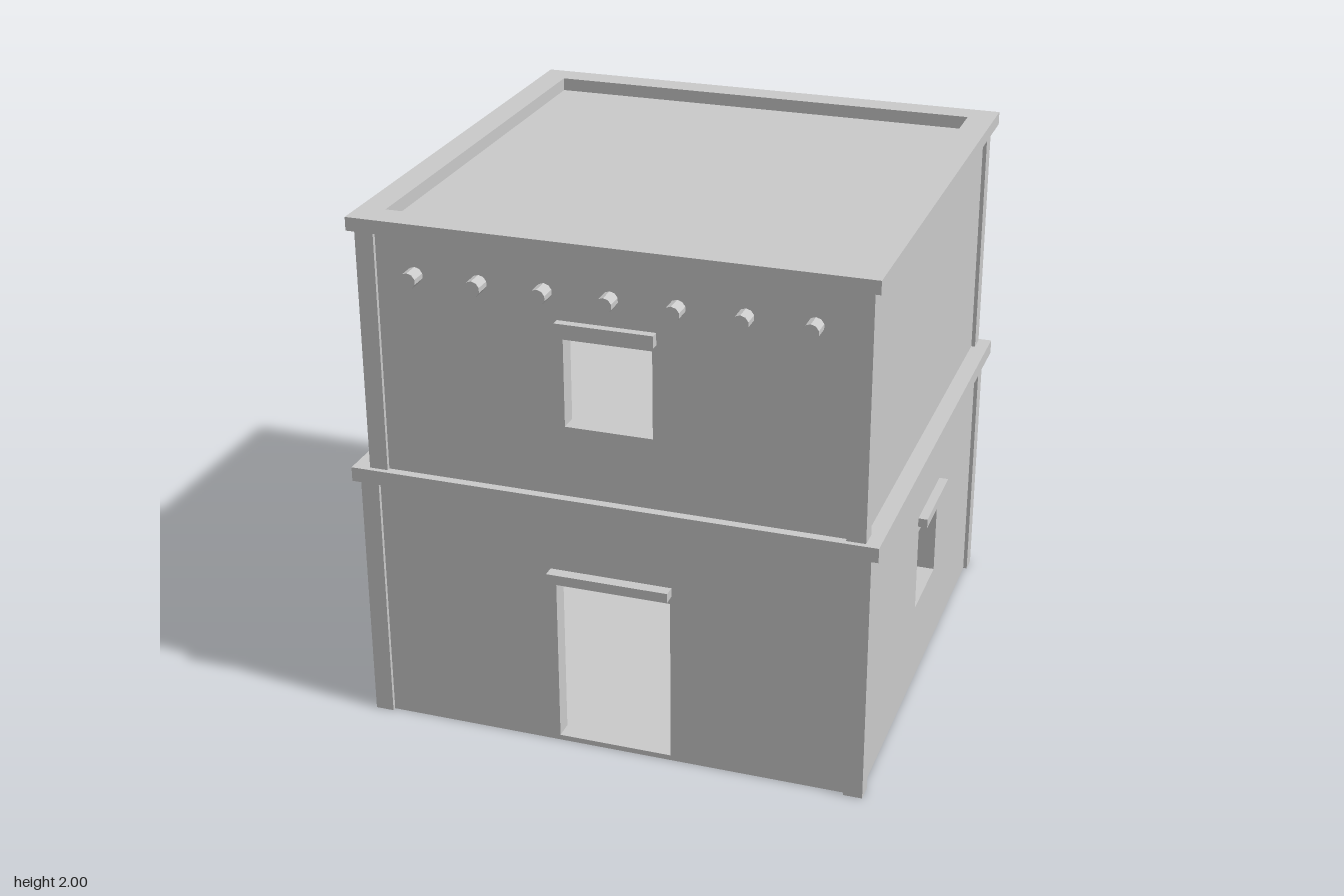
import * as THREE from 'three';

const material = new THREE.MeshStandardMaterial({ color: 0xcccccc, flatShading: true });
const WALL = 0.07, POST = 0.07, PROUD = 0.015;
const Z_BACK = -0.945, Z_FRONT = 0.92; // outer faces of the corner posts

function add(parent, name, geometry) {
  const mesh = new THREE.Mesh(geometry, material);
  mesh.name = name;
  parent.add(mesh);
  return mesh;
}

// Box given by its limits on each axis
function box(parent, name, x0, x1, y0, y1, z0, z1) {
  const mesh = add(parent, name, new THREE.BoxGeometry(x1 - x0, y1 - y0, z1 - z0));
  mesh.position.set((x0 + x1) / 2, (y0 + y1) / 2, (z0 + z1) / 2);
  return mesh;
}

function rectangle(target, [u0, u1, v0, v1]) {
  target.moveTo(u0, v0);
  target.lineTo(u1, v0);
  target.lineTo(u1, v1);
  target.lineTo(u0, v1);
  target.closePath();
  return target;
}

// Flat panel with an optional rectangular opening
function panel(outer, opening, depth) {
  const shape = rectangle(new THREE.Shape(), outer);
  if (opening) shape.holes.push(rectangle(new THREE.Path(), opening));
  return new THREE.ExtrudeGeometry(shape, { depth, bevelEnabled: false });
}

// Four hollow walls with a post at each corner
function storey(name, x0, x1, y0, y1, openings) {
  const group = new THREE.Group();
  group.name = name;
  const l = x0 + PROUD, r = x1 - PROUD, b = Z_BACK + PROUD, f = Z_FRONT - PROUD;
  add(group, 'frontWall', panel([l, r, y0, y1], openings.front, WALL)).position.z = f - WALL;
  add(group, 'backWall', panel([l, r, y0, y1], openings.back, WALL)).position.z = b;
  for (const [side, x] of [['left', r], ['right', l + WALL]]) {
    const wall = add(group, side + 'Wall', panel([b + WALL, f - WALL, y0, y1], openings[side], WALL));
    wall.rotation.y = -Math.PI / 2;
    wall.position.x = x;
  }
  for (const x of [x0, x1 - POST])
    for (const z of [Z_BACK, Z_FRONT - POST])
      box(group, 'cornerPost', x, x + POST, y0, y1, z, z + POST);
  return group;
}

export function createModel() {
  const model = new THREE.Group();
  model.name = 'house';

  // Storeys, openings as [from, to, bottom, top]
  model.add(storey('lowerStorey', -0.96, 0.955, 0, 0.975, {
    front: [-0.21, 0.225, 0.02, 0.66],
    left: [-0.235, 0.09, 0.33, 0.66],
    right: [-0.18, 0.145, 0.33, 0.66],
  }));
  model.add(storey('upperStorey', -0.92, 0.935, 1.03, 1.95, {
    front: [-0.16, 0.165, 1.3, 1.63],
    back: [-0.225, 0.105, 1.3, 1.63],
  }));

  // Floors, roof and parapet rim
  box(model, 'groundFloor', -0.875, 0.87, 0, 0.02, -0.86, 0.835);
  box(model, 'floorBand', -0.985, 0.985, 0.975, 1.03, -0.96, 0.94);
  box(model, 'roof', -0.845, 0.86, 1.91, 1.95, -0.87, 0.835);
  const rim = add(model, 'parapetRim', panel([-0.94, 0.96, -0.945, 0.97], [-0.84, 0.855, -0.83, 0.865], 0.05));
  rim.rotation.x = -Math.PI / 2;
  rim.position.y = 1.95;

  // Lintels over the door and windows
  box(model, 'doorLintel', -0.23, 0.23, 0.69, 0.725, 0.89, 0.95);
  box(model, 'frontLintel', -0.18, 0.18, 1.655, 1.7, 0.89, 0.937);
  box(model, 'backLintel', -0.245, 0.12, 1.655, 1.7, -0.96, -0.91);
  box(model, 'leftLintel', 0.92, 0.975, 0.69, 0.725, -0.255, 0.105);
  box(model, 'rightLintel', -0.98, -0.925, 0.69, 0.725, -0.2, 0.165);

  // Roof beam ends
  for (let i = 0; i < 7; i++) {
    const beam = add(model, 'beamEnd', new THREE.CylinderGeometry(0.03, 0.03, 0.09, 10));
    beam.rotation.x = Math.PI / 2;
    beam.position.set(-0.705 + i * 0.24, 1.8, 0.925);
  }

  // Ladder on the back wall
  const ladder = new THREE.Group();
  ladder.name = 'ladder';
  model.add(ladder);
  for (const x of [-0.685, -0.465])
    box(ladder, 'ladderRail', x - 0.015, x + 0.015, 0.025, 1.95, -0.955, -0.925);
  for (let y = 0.09; y < 1.94; y += 0.095)
    box(ladder, 'ladderRung', -0.675, -0.475, y - 0.01, y + 0.01, -0.95, -0.928);

  return model;
}
